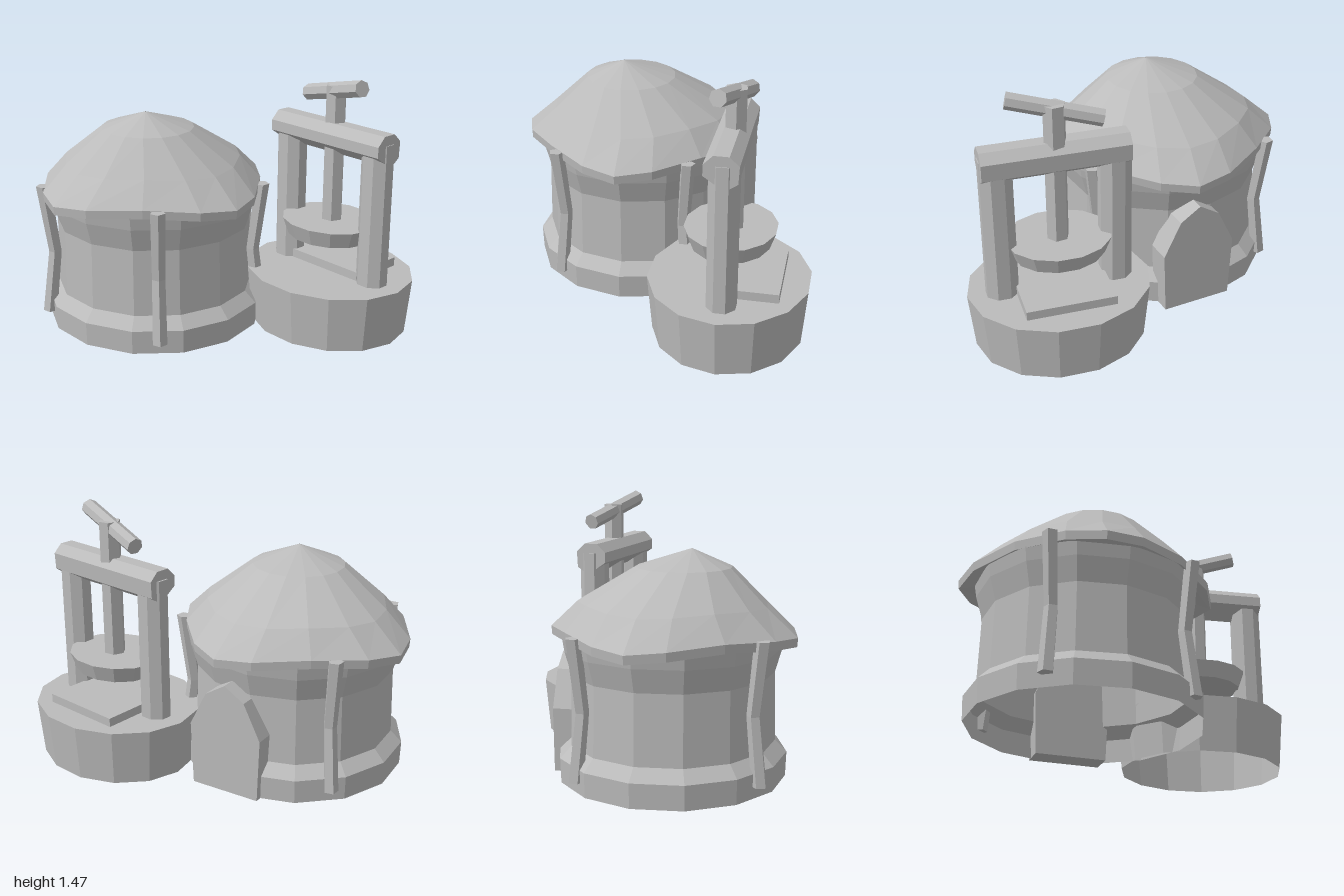
import * as THREE from 'three';

const stone = new THREE.MeshStandardMaterial({ color: 0xbbbbbb, flatShading: true, side: THREE.DoubleSide });
stone.name = 'plain grey';

const HUT = [-0.295, 0.193];
const PRESS = [0.493, -0.463];

function part(name, geometry, x = 0, y = 0, z = 0) {
  const g = geometry.index ? geometry.toNonIndexed() : geometry;
  g.computeVertexNormals();
  const mesh = new THREE.Mesh(g, stone);
  mesh.name = name;
  mesh.position.set(x, y, z);
  return mesh;
}

// Skin between rings of points, listed from bottom to top; caps close the ends
function loft(rings, capBottom = false, capTop = false) {
  const pos = [];
  const tri = (a, b, c) => [a, b, c].forEach((p) => pos.push(...p));
  const n = rings[0].length;
  for (let r = 0; r + 1 < rings.length; r++) {
    for (let i = 0; i < n; i++) {
      const j = (i + 1) % n;
      const [a, b, c, d] = [rings[r][i], rings[r][j], rings[r + 1][j], rings[r + 1][i]];
      tri(a, b, c);
      tri(a, c, d);
    }
  }
  const last = rings[rings.length - 1];
  for (let i = 1; i + 1 < n; i++) {
    if (capBottom) tri(rings[0][0], rings[0][i + 1], rings[0][i]);
    if (capTop) tri(last[0], last[i], last[i + 1]);
  }
  const g = new THREE.BufferGeometry();
  g.setAttribute('position', new THREE.Float32BufferAttribute(pos, 3));
  return g;
}

// Fourteen-sided turned shape with corners on the x axis, slightly oval
function drum(profile, depthScale) {
  return new THREE.LatheGeometry(profile.map((p) => new THREE.Vector2(...p)), 14, Math.PI / 14).scale(1, 1, depthScale);
}

// Sagging sixteen-sided roof: eave corners point along the axes
function roofGeometry() {
  const angles = [0, 17.5, 45, 72.5];
  const eaveR = [0.705, 0.667, 0.622, 0.667];
  const lift = [0, 0.015, 0.033, 0.015];
  const ring = (scale, y, round, cx = 0, cz = 0, wave = 1) =>
    Array.from({ length: 16 }, (_, i) => {
      const k = i % 4;
      const deg = THREE.MathUtils.lerp(angles[k], k * 22.5, round) + 90 * Math.floor(i / 4);
      const r = scale * THREE.MathUtils.lerp(eaveR[k] / 0.705, 1, round);
      const a = THREE.MathUtils.degToRad(deg);
      return [cx + r * Math.sin(a), y + lift[k] * wave, cz + 0.98 * r * Math.cos(a)];
    });
  return loft([
    ring(0.6, 0.78, 0.5),
    ring(0.702, 0.75, 0),
    ring(0.706, 0.798, 0),
    ring(0.535, 0.945, 0.5, 0, 0, 0.5),
    ring(0.265, 1.14, 1, 0.03, 0.057, 0),
    ring(0.002, 1.235, 1, 0.055, 0.092, 0),
  ]);
}

// Bent five-sided prop, its middle pushed toward the wall
function propGeometry() {
  const ring = (y, out, r) =>
    Array.from({ length: 5 }, (_, i) => {
      const a = (i / 5) * Math.PI * 2;
      return [r * Math.sin(a), y, out + r * Math.cos(a)];
    });
  return loft([ring(0.065, 0.63, 0.042), ring(0.43, 0.585, 0.038), ring(0.825, 0.635, 0.043)], true, true);
}

function buildHut() {
  const hut = new THREE.Group();
  hut.name = 'hut';
  hut.position.set(HUT[0], 0, HUT[1]);
  const wall = [[0.635, 0], [0.64, 0.135], [0.575, 0.2], [0.567, 0.58], [0.605, 0.71], [0.618, 0.785]];
  hut.add(part('wall', drum(wall, 0.98)));
  hut.add(part('roof', roofGeometry()));

  // Props around the wall, by direction from the centre
  [[-0.265, 0.565], [0.505, 0.38], [0.515, -0.37], [-0.535, -0.345]].forEach(([x, z]) => {
    const prop = part('wallProp', propGeometry());
    prop.rotation.y = Math.atan2(x, z);
    hut.add(prop);
  });

  // Arched door slab on the back
  const shape = new THREE.Shape(
    [[-0.205, 0], [0.205, 0], [0.22, 0.36], [0.12, 0.56], [0, 0.635], [-0.12, 0.56], [-0.22, 0.36]]
      .map((p) => new THREE.Vector2(...p)));
  const door = part('door', new THREE.ExtrudeGeometry(shape, { depth: 0.145, bevelEnabled: false }), -0.005, 0, -0.495);
  door.rotation.y = Math.atan2(-0.16, -0.987);
  hut.add(door);
  return hut;
}

function buildPress() {
  const press = new THREE.Group();
  press.name = 'press';
  press.position.set(PRESS[0], 0, PRESS[1]);
  press.add(part('pressBase', drum([[0.474, 0], [0.505, 0.32], [0.001, 0.32]], 0.88)));
  press.add(part('tray', new THREE.BoxGeometry(0.49, 0.07, 0.335), 0, 0.335, -0.125));

  // Chamfered posts on both sides
  for (const side of [-1, 1]) {
    const geo = new THREE.CylinderGeometry(0.092, 0.092, 0.885, 8);
    geo.rotateY(Math.PI / 8);
    geo.scale(1, 1, 0.9);
    press.add(part('post', geo, side * 0.315, 0.6925, -0.004));
  }

  // Crossbeam with an uneven seven-sided section, given as (z, y)
  const section = [[0.043, 1.19], [-0.037, 1.19], [-0.087, 1.143], [-0.082, 1.05], [-0.017, 1.005], [0.093, 1.08], [0.093, 1.14]];
  const ends = [0.395, -0.39].map((x) => section.map(([z, y]) => [x, y, z]));
  press.add(part('crossbeam', loft(ends, true, true)));

  // Screw, pressing plate and slanted handle
  const screw = new THREE.CylinderGeometry(0.061, 0.061, 0.82, 6);
  screw.rotateY(Math.PI / 6 + 0.15);
  press.add(part('screw', screw, 0, 0.985, -0.01));
  const plate = new THREE.CylinderGeometry(0.29, 0.253, 0.095, 14);
  plate.rotateY(Math.PI / 14);
  plate.scale(1, 1, 0.865);
  press.add(part('pressPlate', plate, -0.005, 0.5725, 0));

  const a = new THREE.Vector3(-0.245, 1.305, -0.055);
  const b = new THREE.Vector3(0.232, 1.42, 0.05);
  const axis = b.clone().sub(a);
  const handle = part('handle', new THREE.CylinderGeometry(0.047, 0.047, axis.length(), 7));
  handle.quaternion.setFromUnitVectors(new THREE.Vector3(0, 1, 0), axis.normalize());
  handle.position.copy(a).add(b).multiplyScalar(0.5);
  press.add(handle);
  return press;
}

export function createModel() {
  const model = new THREE.Group();
  model.name = 'hutWithPress';
  model.add(buildHut(), buildPress());
  return model;
}
